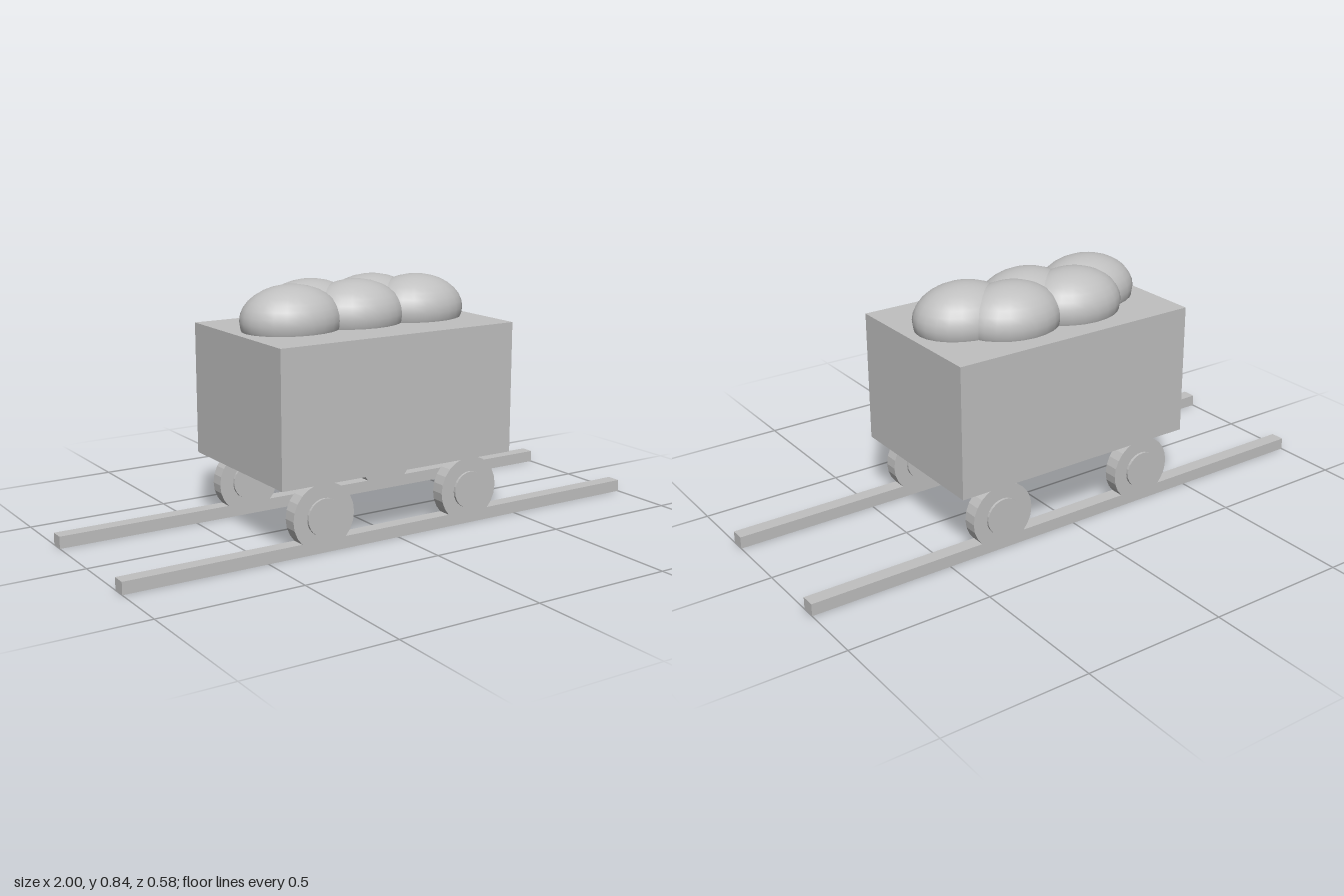
import * as THREE from 'three';

export function createModel() {
  const model = new THREE.Group();
  const grey = new THREE.MeshStandardMaterial({ color: 0xc0c0c0 });
  grey.name = 'plain grey';
  const greyFaceted = grey.clone();
  greyFaceted.flatShading = true;

  function add(name, geometry, x, y, z, material = grey) {
    const mesh = new THREE.Mesh(geometry, material);
    mesh.name = name;
    mesh.position.set(x, y, z);
    model.add(mesh);
    return mesh;
  }

  // Cart body
  add('cartBody', new THREE.BoxGeometry(0.914, 0.457, 0.583), 0, 0.4635, 0);

  // Rails, with two wheels on each
  const rail = new THREE.BoxGeometry(2, 0.042, 0.05);
  const wheel = new THREE.CylinderGeometry(0.115, 0.115, 0.05, 24).rotateX(Math.PI / 2);
  const hub = new THREE.CylinderGeometry(0.064, 0.064, 0.068, 24).rotateX(Math.PI / 2);
  for (const side of [1, -1]) {
    const z = side * 0.251;
    add(side > 0 ? 'frontRail' : 'backRail', rail, 0, 0.021, z);
    for (const x of [-0.293, 0.293]) {
      add('wheel', wheel, x, 0.1215, z, greyFaceted);
      add('wheelHub', hub, x, 0.1215, z, greyFaceted);
    }
  }

  // Heaped load: three lumps in front, two behind
  const lump = new THREE.SphereGeometry(1, 24, 16);
  const spots = [[-0.25, 0.003], [0, 0.003], [0.25, 0.003], [-0.125, -0.084], [0.125, -0.084]];
  for (const [x, z] of spots) {
    add('loadLump', lump, x, 0.723, z).scale.set(0.179, 0.119, 0.147);
  }

  return model;
}
